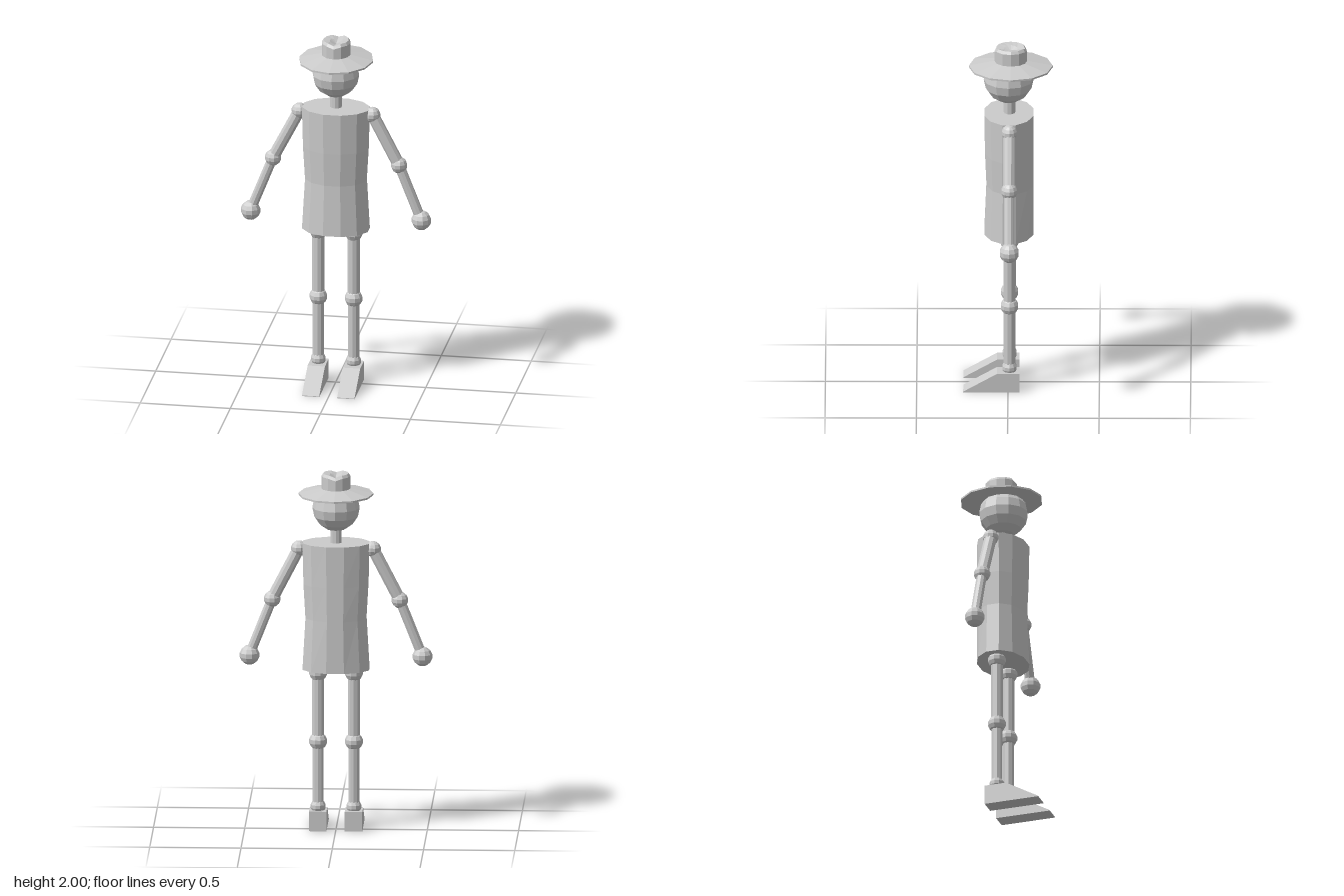
import * as THREE from 'three';

const mat = new THREE.MeshStandardMaterial({ color: 0xcccccc, flatShading: true, side: THREE.DoubleSide });
const Z = -0.008; // depth of the body's axis

export function createModel() {
  const model = new THREE.Group();
  const add = (name, geometry, x = 0, y = 0, z = 0) => {
    const mesh = new THREE.Mesh(geometry, mat);
    mesh.name = name;
    mesh.position.set(x, y, z);
    model.add(mesh);
    return mesh;
  };
  const ball = (name, r, x, y) => add(name, new THREE.SphereGeometry(r, 10, 7), x, y, Z);
  // Straight round bar between two points in the frontal plane
  const bar = (name, r, [x1, y1], [x2, y2]) => {
    const mesh = add(name, new THREE.CylinderGeometry(r, r, Math.hypot(x2 - x1, y2 - y1), 10),
      (x1 + x2) / 2, (y1 + y2) / 2, Z);
    mesh.rotation.z = Math.atan2(x1 - x2, y2 - y1);
  };
  const lathe = (pts) => new THREE.LatheGeometry(pts.map(([r, y]) => new THREE.Vector2(r, y)), 12);

  // Torso: oval tube, drawn in at the waist on the front and sides
  const torso = new THREE.CylinderGeometry(1, 1, 0.71, 12, 3);
  torso.rotateY(Math.PI / 12);
  const p = torso.attributes.position;
  const levels = [[0.9, 1], [1.19, 0.91], [1.38, 0.97], [1.61, 1]];
  for (let i = 0; i < p.count; i++) {
    const [y, s] = levels[Math.round((p.getY(i) / 0.71 + 0.5) * 3)];
    const z = p.getZ(i);
    p.setXYZ(i, p.getX(i) * 0.189 * s, y, z * 0.14 * (z > 0 ? s : 1) - 0.005);
  }
  torso.computeVertexNormals();
  add('torso', torso);

  // Neck and head
  bar('neck', 0.032, [0, 1.59], [0, 1.71]);
  const head = add('head', new THREE.SphereGeometry(0.13, 12, 8), 0, 1.805, -0.003);
  head.scale.z = 1.05;

  // Hat: sloping brim and a crown with a crease from front to back
  const brim = add('hatBrim', lathe([[0, 1.88], [0.205, 1.878], [0.205, 1.888], [0.08, 1.916], [0, 1.916]]), 0, 0, -0.015);
  brim.scale.z = 1.12;
  const crownGeo = lathe([[0.08, 1.9], [0.08, 1.985], [0.07, 2], [0.035, 1.995], [0, 1.985]]);
  const c = crownGeo.attributes.position;
  for (let i = 0; i < c.count; i++) {
    if (c.getY(i) > 1.95) c.setY(i, c.getY(i) - 0.012 * Math.max(0, 1 - Math.abs(c.getX(i)) / 0.035));
  }
  crownGeo.computeVertexNormals();
  const crown = add('hatCrown', crownGeo, 0, 0, -0.015);
  crown.scale.z = 1.12;

  // Side outline of the wedge foot
  const outline = new THREE.Shape([[-0.063, 0], [0.245, 0], [0.245, 0.004], [0.06, 0.11], [-0.063, 0.11]]
    .map(([z, y]) => new THREE.Vector2(z, y)));

  for (const [side, s] of [['left', 1], ['right', -1]]) {
    // Arm
    const shoulder = [s * 0.203, 1.575], elbow = [s * 0.35, 1.29], hand = [s * 0.474, 0.975];
    ball(side + 'Shoulder', 0.044, ...shoulder);
    bar(side + 'UpperArm', 0.034, shoulder, elbow);
    ball(side + 'Elbow', 0.046, ...elbow);
    bar(side + 'Forearm', 0.028, elbow, hand);
    ball(side + 'Hand', 0.055, ...hand);

    // Leg
    const x = s * 0.098;
    ball(side + 'Hip', 0.05, x, 0.88);
    bar(side + 'Thigh', 0.034, [x, 0.88], [x, 0.495]);
    ball(side + 'Knee', 0.05, x, 0.495);
    bar(side + 'Shin', 0.032, [x, 0.495], [x, 0.12]);
    ball(side + 'Ankle', 0.042, x, 0.13);

    // Foot
    const foot = new THREE.ExtrudeGeometry(outline, { depth: 0.096, bevelEnabled: false });
    foot.translate(0, 0, -0.048).rotateY(-Math.PI / 2);
    add(side + 'Foot', foot, x, 0, 0);
  }
  return model;
}
